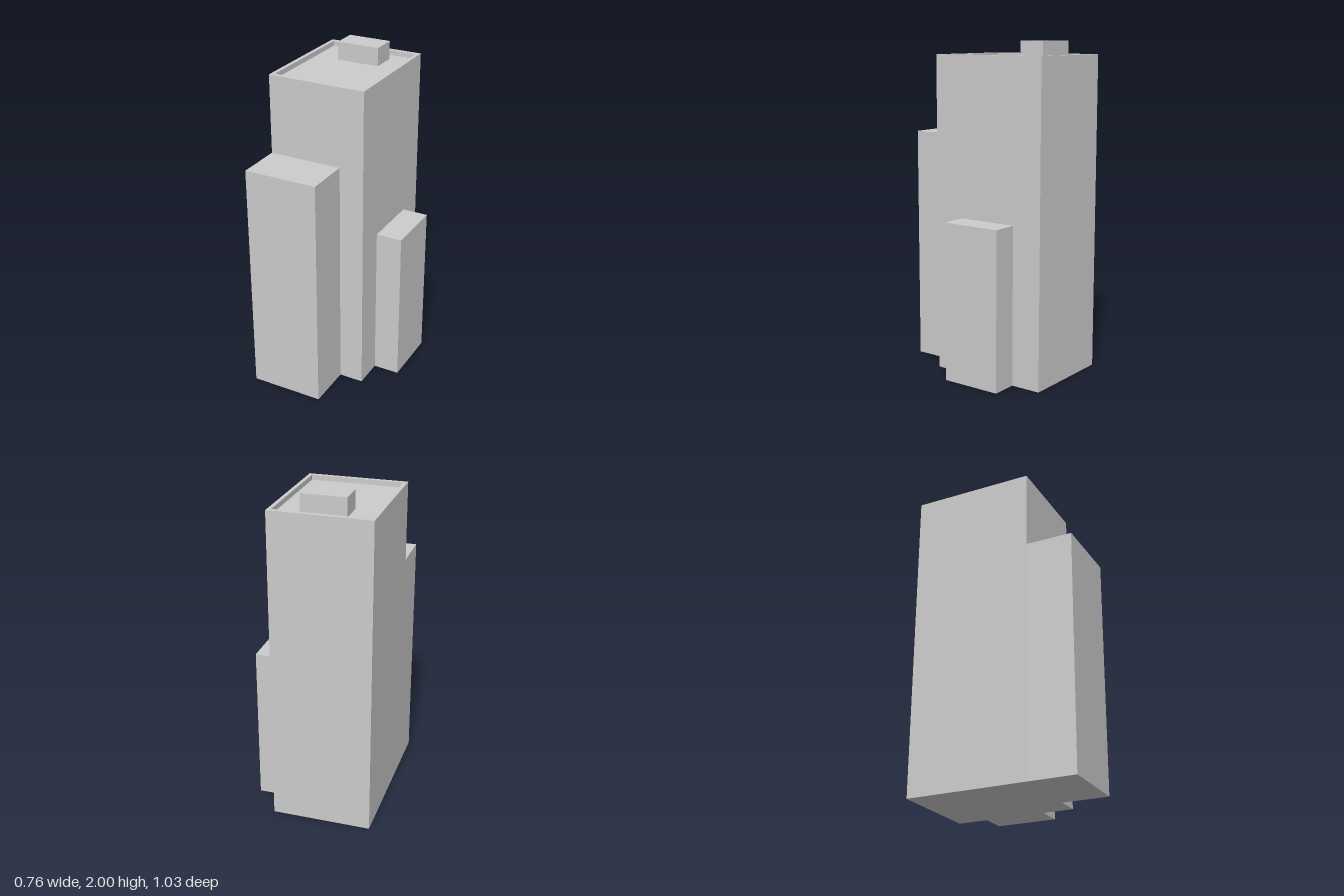
import * as THREE from 'three';

const material = new THREE.MeshStandardMaterial({ color: 0xcccccc, flatShading: true });

// Box given by its [min, max] extent along each axis
function block(name, [x0, x1], [y0, y1], [z0, z1]) {
  const geometry = new THREE.BoxGeometry(x1 - x0, y1 - y0, z1 - z0);
  geometry.translate((x0 + x1) / 2, (y0 + y1) / 2, (z0 + z1) / 2);
  const mesh = new THREE.Mesh(geometry, material);
  mesh.name = name;
  return mesh;
}

// Rectangle in plan; shape y is -z so the extrusion can be laid flat
function planRect(Type, [x0, x1], [z0, z1]) {
  return new Type([
    new THREE.Vector2(x0, -z1), new THREE.Vector2(x1, -z1),
    new THREE.Vector2(x1, -z0), new THREE.Vector2(x0, -z0),
  ]);
}

export function createModel() {
  const model = new THREE.Group();
  model.name = 'towerBuilding';

  const towerX = [-0.38, 0.22], towerZ = [-0.513, 0.23];
  const roofY = 1.89, topY = 1.92;

  // Main tower up to the sunken roof deck
  model.add(block('tower', towerX, [0, roofY], towerZ));

  // Parapet frame around the roof deck
  const frame = planRect(THREE.Shape, towerX, towerZ);
  frame.holes.push(planRect(THREE.Path, [-0.356, 0.197], [-0.485, 0.203]));
  const parapetGeometry = new THREE.ExtrudeGeometry(frame, { depth: topY - roofY, bevelEnabled: false });
  parapetGeometry.rotateX(-Math.PI / 2).translate(0, roofY, 0);
  const parapet = new THREE.Mesh(parapetGeometry, material);
  parapet.name = 'parapet';
  model.add(parapet);

  // Rooftop plant room and the two lower wings
  model.add(
    block('roofHousing', [-0.205, 0.06], [roofY, 2], [-0.416, -0.262]),
    block('frontWing', [-0.38, 0.07], [0, 1.44], [0.23, 0.513]),
    block('sideWing', [0.22, 0.38], [0, 0.96], [-0.328, 0.045]),
  );
  return model;
}
